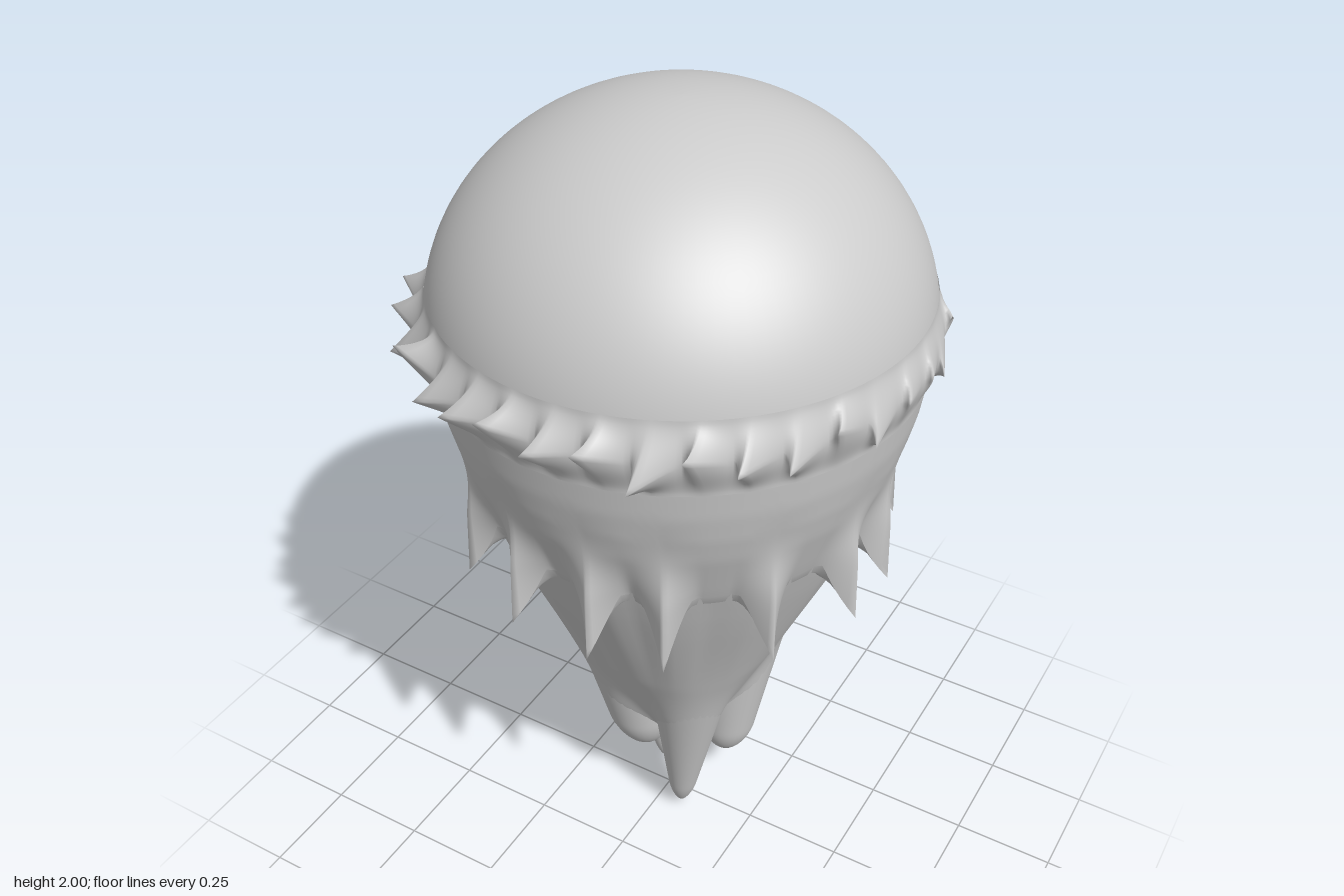
import * as THREE from 'three';

const { lerp, smoothstep } = THREE.MathUtils;
const material = new THREE.MeshStandardMaterial({ color: 0xcccccc, side: THREE.DoubleSide });

// The body's axis sits slightly off centre; the spikes even it out
const CX = 0.016, CZ = -0.02;
const polar = (r, y, a, cx = CX, cz = CZ) => [cx + r * Math.sin(a), y, cz + r * Math.cos(a)];

// Closed ring surface: point(v, angle, column) -> [x, y, z], rows run top to bottom.
// The angle starts at +z and grows towards +x.
function loft(name, rows, cols, point) {
  const pos = [], index = [];
  for (let i = 0; i <= rows; i++) {
    for (let j = 0; j < cols; j++) {
      pos.push(...point(i / rows, (j / cols) * Math.PI * 2, j));
      if (i === rows) continue;
      const a = i * cols + j, b = i * cols + ((j + 1) % cols);
      index.push(a, a + cols, b + cols, a, b + cols, b);
    }
  }
  const geometry = new THREE.BufferGeometry();
  geometry.setAttribute('position', new THREE.Float32BufferAttribute(pos, 3));
  geometry.setIndex(index);
  geometry.computeVertexNormals();
  const mesh = new THREE.Mesh(geometry, material);
  mesh.name = name;
  return mesh;
}

// Outer radius of the body below the rim, as [height, radius]
const PROFILE = [[1.5, 0.56], [1.42, 0.552], [1.34, 0.541], [1.27, 0.526], [1.2, 0.506], [1.08, 0.462],
  [0.95, 0.41], [0.6, 0.262], [0.42, 0.175], [0.33, 0.125], [0.27, 0.08], [0.22, 0]];
function bodyRadius(y) {
  for (let i = 1; i < PROFILE.length; i++) {
    const [y0, r0] = PROFILE[i - 1], [y1, r1] = PROFILE[i];
    if (y >= y1) return lerp(r0, r1, Math.max(0, (y0 - y) / (y0 - y1)));
  }
  return 0;
}

// Skirt teeth, in degrees around the body
const TEETH = [7, 26, 53, 79, 97, 125, 142, 165, 196, 225, 242, 263, 289, 320, 344];
function tooth(deg, halfWidth, power) {
  let best = 0;
  for (const t of TEETH) {
    const d = Math.abs(((deg - t + 540) % 360) - 180);
    best = Math.max(best, Math.pow(Math.max(0, 1 - d / halfWidth), power));
  }
  return best;
}

// Lower edge of the skirt and its radius at a given height
const skirtEdge = (deg) => 1.06 - 0.155 * tooth(deg, 7, 1.15);
const skirtRadius = (deg, y) => lerp(bodyRadius(y), 0.51 + 0.04 * Math.max(0, 1.2 - y),
  tooth(deg, 9, 1.25) * smoothstep(1.34 - y, 0, 0.28));

// Four trailing lobes: tip position, top direction, end radius, length of rounded end
const LOBES = [
  { tip: [0.065, 0.015, 0.05], dir: [0.7, 0.7], end: 0.024, blunt: 0.08 },
  { tip: [-0.06, 0, -0.08], dir: [-0.7, -0.7], end: 0.024, blunt: 0.08 },
  { tip: [0.115, 0.115, -0.1], dir: [0.7, -0.7], end: 0.058, blunt: 0.1 },
  { tip: [-0.045, 0.19, 0.045], dir: [-0.7, 0.7], end: 0.07, blunt: 0.12 },
];

// Centre and radius of a lobe at height y
function lobeAt({ tip, dir, end, blunt }, y) {
  const s = Math.max(0, (y - tip[1]) / (1 - tip[1]));
  const cap = Math.min(1, Math.max(0, y - tip[1]) / blunt);
  return {
    x: lerp(tip[0], CX + dir[0] * 0.19, s),
    z: lerp(tip[2], CZ + dir[1] * 0.19, s),
    r: lerp(end, 0.185, s) * Math.sqrt(1 - (1 - cap) ** 2),
  };
}

// Core radius swollen softly over the lobes
function coreRadius(y, a) {
  const base = bodyRadius(y), power = 14;
  let sum = Math.pow(base, power);
  for (const lobe of LOBES) {
    const { x, z, r } = lobeAt(lobe, y);
    const dx = x - CX, dz = z - CZ;
    const along = dx * Math.sin(a) + dz * Math.cos(a);
    const aside2 = dx * dx + dz * dz - along * along;
    sum += Math.pow(Math.max(0, along + Math.sqrt(Math.max(0, r * r - aside2))), power);
  }
  return lerp(base, Math.pow(sum, 1 / power), smoothstep(y, 0.25, 0.42) * smoothstep(1.1 - y, 0, 0.25));
}

export function createModel() {
  const model = new THREE.Group();

  // Smooth cap
  model.add(loft('dome', 32, 96, (v, a) => {
    const t = v * Math.PI / 2;
    return polar(0.56 * Math.sin(t), 1.5 + 0.5 * Math.cos(t), a);
  }));

  // Rim of swirling hooked spikes that grows smoothly out of the cap
  model.add(loft('frill', 24, 360, (v, a, j) => {
    const k = Math.floor(j / 10), u = (j % 10) / 10;
    const spike = Math.pow(u < 0.4 ? u / 0.4 : (1 - u) / 0.6, 1.5);
    const w = v * 2 - 1;
    const reach = Math.pow(1 - Math.abs(w), 1.6) * spike;
    const length = 0.61 - CX * Math.sin(a) - CZ * Math.cos(a) - 0.572;
    const r = 0.552 + 0.02 * (1 - w * w) ** 2 + length * reach;
    const y = 1.5 - 0.09 * w + 0.045 * Math.sin(k * 2.4) * reach;
    return polar(r, y, a - 0.07 * reach);
  }));

  // Skirt hanging in flared points, and the web beneath it
  model.add(loft('skirt', 28, 360, (v, a, deg) => {
    const y = lerp(1.48, skirtEdge(deg), v);
    return polar(skirtRadius(deg, y), y, a);
  }));
  model.add(loft('skirtUnderside', 5, 360, (v, a, deg) => {
    const y = skirtEdge(deg);
    return polar(lerp(skirtRadius(deg, y), 0.4, v), lerp(y, 1, Math.sqrt(v)), a);
  }));

  // Tapering core with soft pleats that fade downwards
  model.add(loft('core', 48, 180, (v, a, j) => {
    const y = lerp(1.2, 0.22, v);
    const pleat = 0.012 * tooth(j * 2, 12, 1) * smoothstep(y, 0.5, 0.95) * smoothstep(1.15 - y, 0, 0.15);
    return polar(Math.max(0, coreRadius(y, a) - 0.002 + pleat), y, a);
  }));

  // Trailing lobes
  for (const lobe of LOBES) {
    model.add(loft('trailingLobe', 40, 32, (v, a) => {
      const y = lerp(lobe.tip[1], 0.8, Math.pow(1 - v, 1.6)); // rows gather near the tip
      const { x, z, r } = lobeAt(lobe, y);
      return polar(r, y, a, x, z);
    }));
  }

  return model;
}
